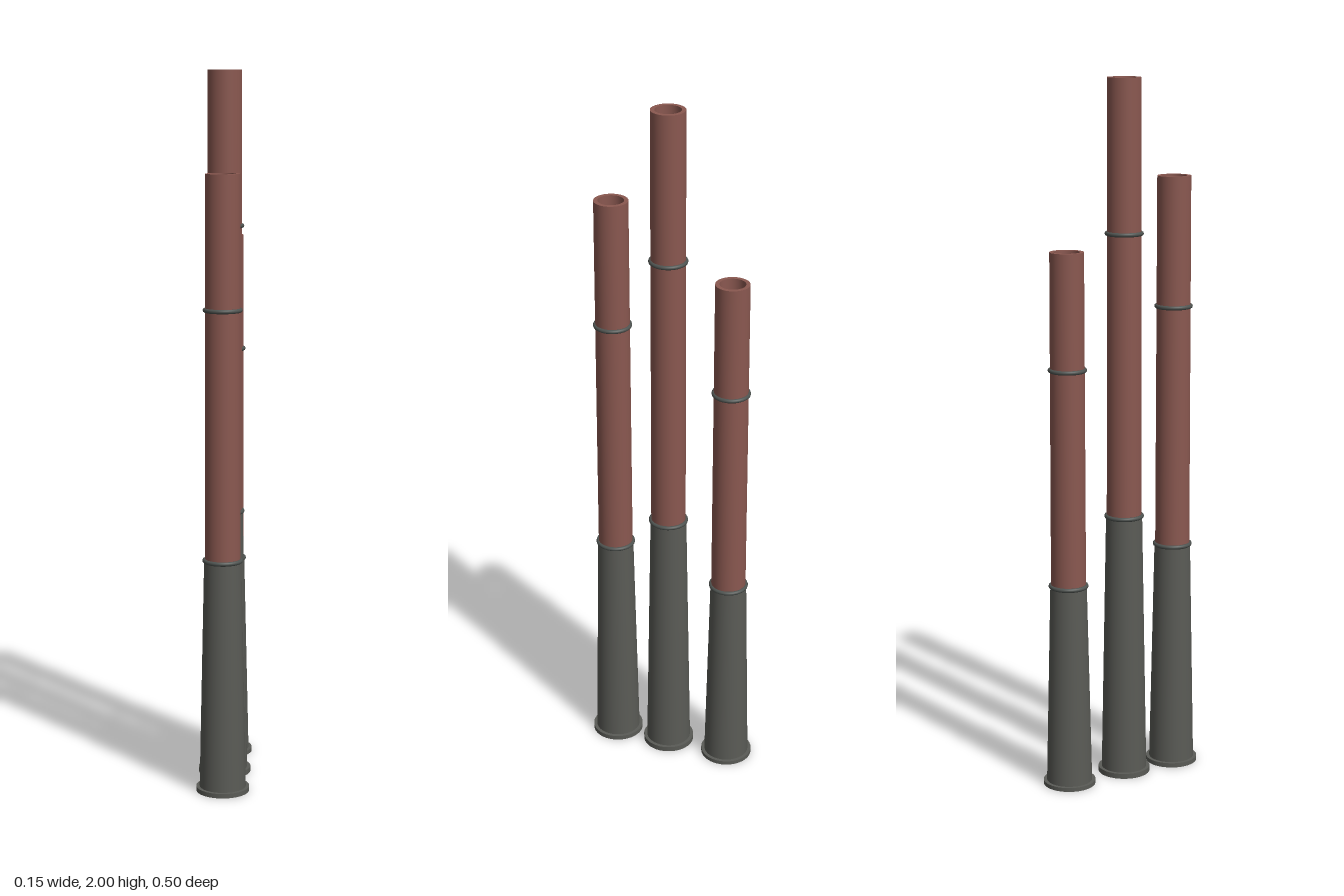
import * as THREE from 'three';

const SEG = 40;

export function createModel() {
  const brick = new THREE.MeshStandardMaterial({ color: 0x8a5850 });
  brick.name = 'brick red';
  const stone = new THREE.MeshStandardMaterial({ color: 0x5a5b56 });
  stone.name = 'dark grey stone';
  const iron = new THREE.MeshStandardMaterial({ color: 0x4e5350 });
  iron.name = 'dark iron';

  const model = new THREE.Group();
  model.name = 'chimneys';

  // One chimney of the given height; every level is a share of that height
  function chimney(name, height, z) {
    const group = new THREE.Group();
    group.name = name;
    group.position.z = z;

    const add = (part, geometry, material, y = 0) => {
      const mesh = new THREE.Mesh(geometry, material);
      mesh.name = part;
      mesh.position.y = y;
      group.add(mesh);
    };
    const tube = (part, rTop, rBottom, from, to, material, open) =>
      add(part, new THREE.CylinderGeometry(rTop, rBottom, (to - from) * height, SEG, 1, open),
        material, (from + to) / 2 * height);
    const disc = (part, geometry, y) =>
      add(part, geometry.rotateX(-Math.PI / 2), brick, y);

    // Foot and tapering lower shaft
    tube('baseFlange', 0.0745, 0.0745, 0, 0.0075, stone, false);
    tube('lowerShaft', 0.0515, 0.065, 0.0075, 0.384, stone, true);

    // Brick stack, barely tapering
    tube('brickStack', 0.0475, 0.0495, 0.384, 1, brick, true);

    // Rim and flue opening
    const depth = 0.04;
    disc('rim', new THREE.RingGeometry(0.036, 0.0475, SEG), height);
    disc('flueFloor', new THREE.CircleGeometry(0.036, SEG), height - depth);
    const flue = new THREE.CylinderGeometry(0.036, 0.036, depth, SEG, 1, true);
    flue.scale(-1, 1, 1);
    const index = flue.index;
    // Mirroring flips the winding, so the wall faces inward; turn its normals too
    const normal = flue.attributes.normal;
    for (let i = 0; i < normal.count; i++) {
      normal.setXYZ(i, -normal.getX(i), -normal.getY(i), -normal.getZ(i));
    }
    index.needsUpdate = true;
    add('flueWall', flue, brick, height - depth / 2);

    // Iron bands
    for (const [part, level, r] of [['lowerBand', 0.384, 0.0505], ['upperBand', 0.787, 0.0485]]) {
      add(part, new THREE.TorusGeometry(r, 0.006, 10, SEG).rotateX(Math.PI / 2), iron, level * height);
    }
    model.add(group);
  }

  chimney('frontChimney', 1.725, 0.174);
  chimney('middleChimney', 2, 0.009);
  chimney('backChimney', 1.535, -0.176);
  return model;
}
